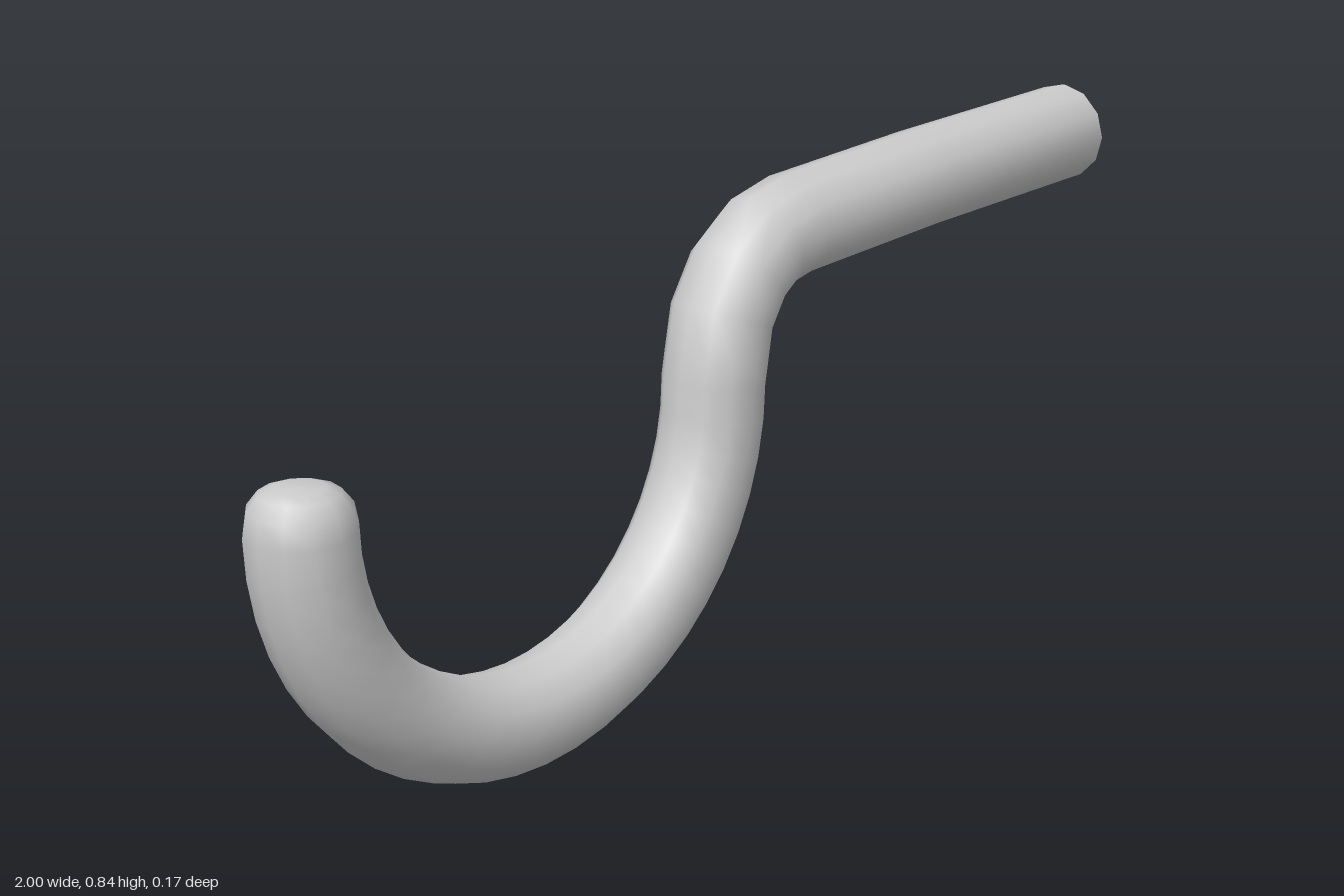
import * as THREE from 'three';

const RADIUS = 0.086;
const SIDES = 12;

// Cross-sections [x, y, radius] along the centre line, from the tip to the open end
function hookSections() {
  const s = [];
  // rounded tip
  for (const [y, r] of [[0.598, 0], [0.596, 0.04], [0.588, 0.062], [0.565, 0.08]]) s.push([-0.915, y, r]);
  // large half-circle of the hook
  for (let i = 0; i <= 24; i++) {
    const a = Math.PI * (1 + i / 24);
    s.push([-0.454 + 0.461 * Math.cos(a), 0.53 + 0.441 * Math.sin(a), RADIUS]);
  }
  // tight bend into the shank
  for (let i = 0; i <= 4; i++) {
    const a = Math.PI - (i / 4) * Math.PI / 2;
    s.push([0.205 + 0.192 * Math.cos(a), 0.56 + 0.19 * Math.sin(a), RADIUS]);
  }
  // straight shank
  s.push([0.56, 0.758, RADIUS], [1, 0.758, RADIUS]);
  return s;
}

// Skins circular rings set square to the centre line
function sweep(sections) {
  const pos = [], index = [];
  const last = sections.length - 1;
  sections.forEach(([x, y, r], i) => {
    const p = sections[Math.max(i - 1, 0)], q = sections[Math.min(i + 1, last)];
    const t = new THREE.Vector2(q[0] - p[0], q[1] - p[1]).normalize();
    for (let j = 0; j < SIDES; j++) {
      const a = (j / SIDES) * Math.PI * 2;
      const n = r * Math.cos(a);
      pos.push(x - t.y * n, y + t.x * n, r * Math.sin(a));
      if (i === last) continue;
      const k = (j + 1) % SIDES, o = i * SIDES;
      const A = o + j, B = o + k, C = A + SIDES, D = B + SIDES;
      if (i > 0) index.push(A, B, C);
      index.push(B, D, C);
    }
  });
  const g = new THREE.BufferGeometry();
  g.setAttribute('position', new THREE.Float32BufferAttribute(pos, 3));
  g.setIndex(index);
  g.computeVertexNormals();
  return g;
}

export function createModel() {
  const group = new THREE.Group();
  group.name = 'hook';
  // hollow rod, open at the shank end
  const material = new THREE.MeshStandardMaterial({ color: 0xcccccc, side: THREE.DoubleSide });
  const rod = new THREE.Mesh(sweep(hookSections()), material);
  rod.name = 'bentRod';
  group.add(rod);
  return group;
}
